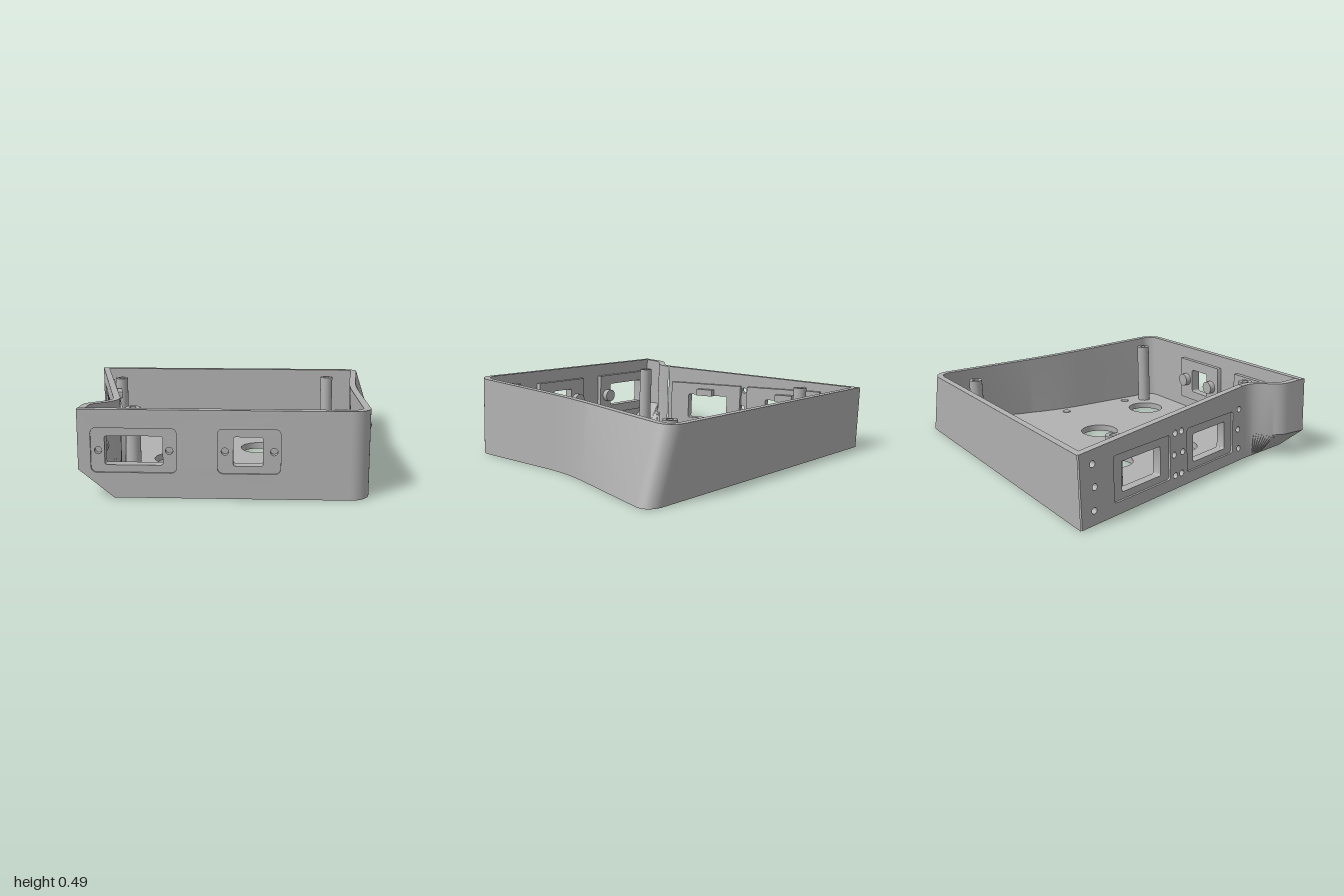
import * as THREE from 'three';
import { toCreasedNormals } from 'three/addons/utils/BufferGeometryUtils.js';

const FRONT = 0.875, BACK = -0.86, RAMP = 0.155, THICK = 0.04;
const rimY = z => 0.444 + 0.049 * z;                       // tilted rim plane
const lean = new THREE.Matrix4().set(1, 0, 0, 0, 0, 1, 0, 0, 0, -0.04, 1, 0, 0, 0, 0, 1);

// Plan outline (x, z) of back wall, flared right wall and front right corner
function mainOutline(y) {
  const cx = 1.025 - 0.36 * y, kx = 0.78, f = 0.12, g = 0.78;
  const on = t => [cx + (kx - cx) * t, BACK + (0 - BACK) * t];
  const p = new THREE.Path();
  p.moveTo(-1, BACK);
  p.lineTo(cx - 0.12, BACK);
  p.bezierCurveTo(cx - 0.05, BACK, ...on(f * 0.42), ...on(f));
  p.lineTo(...on(g));
  p.quadraticCurveTo(kx, 0, kx, 0.2);
  p.lineTo(kx, FRONT - 0.11);
  p.bezierCurveTo(kx, FRONT - 0.05, kx - 0.05, FRONT, kx - 0.11, FRONT);
  return p.getPoints(12);
}

// Bulge at the front left corner, fading out to a ramp near the bottom
function bulgeOutline(y) {
  const k = Math.min(1, Math.max(0, y / RAMP));
  const p = new THREE.Path();
  p.moveTo(-0.8, FRONT);
  p.lineTo(-0.8, 0.74);
  p.bezierCurveTo(-0.8, 0.63, -0.65, 0.63, -0.67, 0.5);
  return p.getPoints(16).map(q => {
    const flat = -0.67 + (q.y - 0.5) * 0.17;
    return new THREE.Vector2(flat + (q.x - flat) * k, q.y);
  });
}

// Moves an open outline inwards
function inset(pts, d) {
  return pts.map((p, i) => {
    const t = pts[Math.min(i + 1, pts.length - 1)].clone().sub(pts[Math.max(i - 1, 0)]).normalize();
    return new THREE.Vector2(p.x - t.y * d, p.y + t.x * d);
  });
}

// Wall with thickness, lofted through heights given as functions of z
function loftWall(outline, heights) {
  const base = outline(0.3), n = base.length, m = heights.length * 2;
  const pos = [], idx = [];
  for (let i = 0; i < n; i++) {
    const outer = [], inner = [];
    for (const h of heights) {
      const y = h(base[i].y), o = outline(y), a = o[i], b = inset(o, THICK)[i];
      if (outline === mainOutline && i === 0) b.x = -0.95;
      outer.push(a.x, y, a.y);
      inner.unshift(b.x, y, b.y);
    }
    pos.push(...outer, ...inner);
    if (i === n - 1) continue;
    for (let j = 0; j < m; j++) {
      const k = (j + 1) % m, a = i * m + j, d = i * m + k, b = a + m, c = d + m;
      idx.push(a, d, c, a, c, b);
    }
  }
  const g = new THREE.BufferGeometry();
  g.setAttribute('position', new THREE.Float32BufferAttribute(pos, 3));
  g.setIndex(idx);
  return g;
}

// Rounded rectangle and circle outlines
function rect(x0, x1, y0, y1, r = 0.001) {
  const s = new THREE.Shape();
  s.absarc(x1 - r, y1 - r, r, 0, Math.PI / 2);
  s.absarc(x0 + r, y1 - r, r, Math.PI / 2, Math.PI);
  s.absarc(x0 + r, y0 + r, r, Math.PI, Math.PI * 1.5);
  s.absarc(x1 - r, y0 + r, r, Math.PI * 1.5, Math.PI * 2);
  s.closePath();
  return s;
}
const circle = (x, y, r) => new THREE.Shape().absarc(x, y, r, 0, Math.PI * 2);

function slab(shape, holes, z0, z1) {
  const s = shape.clone();
  s.holes = holes;
  return new THREE.ExtrudeGeometry(s, { depth: z1 - z0, bevelEnabled: false, curveSegments: 16 }).translate(0, 0, z0);
}

export function createModel() {
  const group = new THREE.Group();
  group.name = 'enclosure';
  const grey = new THREE.MeshStandardMaterial({ color: 0xb2b2b2 });
  grey.name = 'grey';
  const add = (name, geo, place) => {
    if (place) geo.applyMatrix4(place);
    geo.applyMatrix4(lean);
    const mesh = new THREE.Mesh(toCreasedNormals(geo, 0.5), grey);
    mesh.name = name;
    group.add(mesh);
  };

  // Back, right and corner walls
  add('backAndRightWall', loftWall(mainOutline, [() => 0, rimY]));
  add('cornerBulge', loftWall(bulgeOutline, [() => 0, () => RAMP, rimY]));

  // Floor with five large openings
  const plan = [...inset(mainOutline(0), 0.02), ...inset(bulgeOutline(0), 0.02), new THREE.Vector2(-0.98, BACK + 0.01)];
  plan[0].x = -0.97;
  const openings = [[-0.35, -0.24], [-0.35, 0.25], [0.175, -0.005], [0.07, 0.56], [0.44, 0.56]];
  const up = new THREE.Matrix4().makeRotationX(-Math.PI / 2);
  add('floor', slab(new THREE.Shape(plan.map(p => new THREE.Vector2(p.x, -p.y))),
    openings.map(([x, z]) => new THREE.Path().absarc(x, -z, 0.119, 0, Math.PI * 2)), 0, THICK), up);

  // Small round pads on the floor
  for (const [x, z] of [[-0.59, -0.52], [0.63, -0.52], [-0.635, 0.03], [0.67, 0.03], [-0.51, 0.535], [0.67, 0.535]])
    add('floorPad', new THREE.CylinderGeometry(0.028, 0.028, 0.006, 20).translate(x, THICK + 0.002, z));

  // Hollow screw posts
  for (const [x, z] of [[-0.805, -0.525], [0.645, -0.655], [-0.535, 0.635], [0.63, 0.685]]) {
    const h = rimY(z) - 0.03;
    const profile = [[0.042, 0.02], [0.042, h], [0.02, h], [0.02, h - 0.12], [0, h - 0.12]];
    add('screwPost', new THREE.LatheGeometry(profile.map(p => new THREE.Vector2(...p)), 24).translate(x, 0, z));
  }

  // Front wall: shallow recesses, windows and screw holes
  const frontPlace = new THREE.Matrix4().makeTranslation(0, 0, FRONT);
  const T = rimY(FRONT);
  const frontShape = new THREE.Shape([[-0.606, 0], [0.67, 0], [0.67, T], [-0.8, T], [-0.8, RAMP]].map(p => new THREE.Vector2(...p)));
  const ports = [
    { recess: [-0.73, -0.265], window: [-0.655, -0.34], plate: [-0.735, -0.24], screws: [-0.69, -0.305] },
    { recess: [-0.045, 0.295], window: [0.04, 0.2], plate: [-0.075, 0.325], screws: [-0.005, 0.26] },
  ];
  const portWindow = p => rect(...p.window, 0.18, 0.34, 0.012);
  add('frontWallFace', slab(frontShape, ports.map(p => rect(...p.recess, 0.14, 0.385, 0.03)), -0.01, 0), frontPlace);
  add('frontWall', slab(frontShape,
    ports.flatMap(p => [portWindow(p), ...p.screws.map(x => circle(x, 0.26, 0.02))]), -THICK, -0.01), frontPlace);
  for (const p of ports) {
    add('frontBackingPlate', slab(rect(...p.plate, 0.12, 0.405), [portWindow(p)], -0.07, -THICK), frontPlace);
    for (const x of p.screws)
      add('screwBoss', new THREE.CylinderGeometry(0.042, 0.042, 0.04, 24).rotateX(Math.PI / 2).translate(x, 0.26, -0.088), frontPlace);
  }

  // Slanted left-hand wall, drawn along its own length
  const L = Math.hypot(0.33, 0.5 - BACK);
  const sidePlace = new THREE.Matrix4().makeRotationY(-Math.atan2(0.5 - BACK, 0.33)).setPosition(-1, 0, BACK);
  const sideShape = new THREE.Shape([[0.01, 0], [L, 0], [L, rimY(0.5)], [0.01, rimY(BACK)]].map(p => new THREE.Vector2(...p)));
  const jacks = [
    { recess: [0.25, 0.7], window: [0.32, 0.63], plate: [0.25, 0.77], clip: [0.43, 0.55] },
    { recess: [0.85, 1.29], window: [0.92, 1.22], plate: [0.82, 1.36], clip: [1.02, 1.14] },
  ];
  const jackWindow = j => rect(...j.window, 0.11, 0.28, 0.01);
  const screwHoles = () => [0.1, 0.745, 0.8, 1.355].flatMap((u, i) =>
    [0.08, 0.205, 0.33].map((y, k) => circle(u + (k === 1 ? (i % 2 ? -0.01 : 0.01) : 0), y, 0.018)));
  add('sideWallFace', slab(sideShape, [...jacks.map(j => rect(...j.recess, 0.07, 0.33, 0.015)), ...screwHoles()], -0.012, 0), sidePlace);
  add('sideWall', slab(sideShape, [...jacks.map(jackWindow), ...screwHoles()], -THICK, -0.012), sidePlace);
  for (const j of jacks) {
    add('sideBackingPlate', slab(rect(...j.plate, 0.05, 0.36), [jackWindow(j)], -0.065, -THICK), sidePlace);
    add('sideClip', slab(rect(...j.clip, 0.28, 0.325), [], -0.105, -0.06), sidePlace);
  }
  return group;
}
